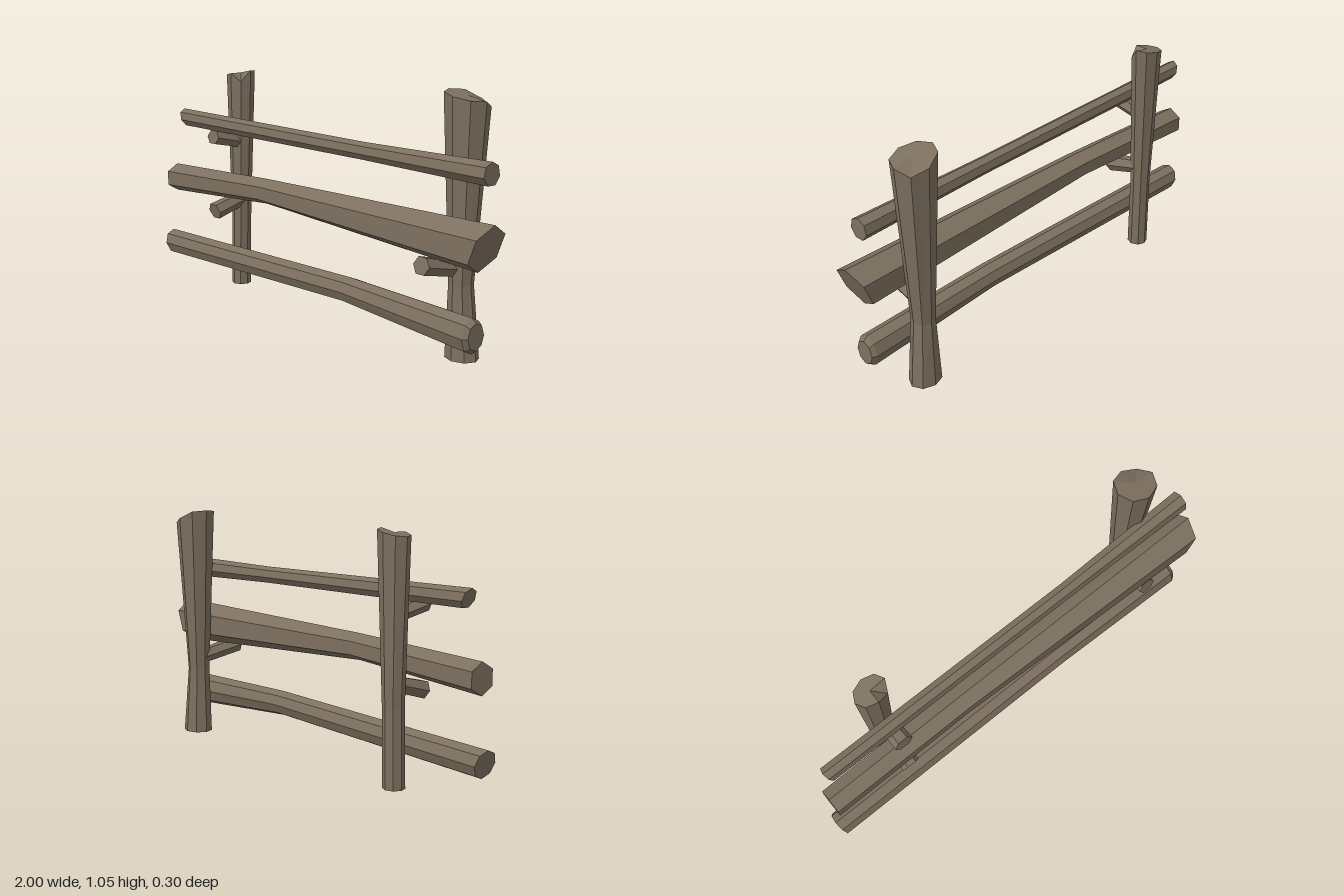
import * as THREE from 'three';

const wood = new THREE.MeshStandardMaterial({ color: 0x7d705f, flatShading: true });
wood.name = 'weathered wood';

// Faceted log lofted along one axis. Each ring: [t, a, b, radiusA, radiusB, slantA, slantB]
// where (t, a, b) is (x,y,z), (y,z,x) or (z,x,y). chips lowers chosen corners of the last ring.
function log(name, axis, sides, rings, chips = {}) {
  const pos = [], index = [];
  const place = (t, a, b) => {
    if (axis === 'x') pos.push(t, a, b);
    else if (axis === 'y') pos.push(b, t, a);
    else pos.push(a, b, t);
  };
  rings.forEach(([t, a, b, ra, rb, sa = 0, sb = 0], k) => {
    for (let i = 0; i < sides; i++) {
      const ang = (i / sides) * Math.PI * 2;
      const da = ra * Math.cos(ang), db = rb * Math.sin(ang);
      const chip = k === rings.length - 1 ? chips[i] || 0 : 0;
      place(t + sa * da + sb * db - chip, a + da, b + db);
    }
  });
  const last = rings.length - 1, start = rings.length * sides, end = start + 1;
  place(...rings[0].slice(0, 3));
  place(...rings[last].slice(0, 3));
  for (let i = 0; i < sides; i++) {
    const j = (i + 1) % sides;
    for (let k = 0; k < last; k++) {
      const p = k * sides, q = p + sides;
      index.push(p + i, p + j, q + j, p + i, q + j, q + i);
    }
    index.push(start, j, i, end, last * sides + i, last * sides + j);
  }
  const indexed = new THREE.BufferGeometry();
  indexed.setAttribute('position', new THREE.Float32BufferAttribute(pos, 3));
  indexed.setIndex(index);
  const geo = indexed.toNonIndexed();
  geo.computeVertexNormals();
  const mesh = new THREE.Mesh(geo, wood);
  mesh.name = name;
  return mesh;
}

export function createModel() {
  const group = new THREE.Group();
  group.name = 'fence';
  group.add(
    // Posts: narrow waist, flared slanted top with a chipped corner
    log('leftPost', 'y', 8, [
      [0, -0.06, 0.748, 0.062, 0.073],
      [0.3, -0.057, 0.738, 0.05, 0.05],
      [1.037, -0.065, 0.74, 0.085, 0.095, 0, -0.18],
    ], { 3: 0.03, 4: 0.02 }),
    log('rightPost', 'y', 8, [
      [0.02, -0.04, -0.62, 0.045, 0.045],
      [0.35, -0.043, -0.615, 0.044, 0.045],
      [1.02, -0.047, -0.612, 0.058, 0.073, 0, 0.2],
    ], { 1: 0.045 }),
    // Rails: slightly bent, with slanted sawn ends
    log('topRail', 'x', 7, [
      [-0.918, 0.79, 0.045, 0.04, 0.036, -0.42],
      [0.3, 0.778, 0.037, 0.037, 0.035],
      [0.945, 0.774, 0.028, 0.047, 0.046],
    ]),
    log('middleRail', 'x', 6, [
      [-0.97, 0.496, 0.07, 0.065, 0.064],
      [-0.29, 0.527, 0.068, 0.056, 0.066],
      [0.96, 0.503, 0.065, 0.097, 0.095, 0.39],
    ]),
    log('bottomRail', 'x', 8, [
      [-0.985, 0.173, 0.08, 0.058, 0.056, -0.26],
      [0.25, 0.196, 0.08, 0.055, 0.055],
      [0.915, 0.163, 0.082, 0.072, 0.058],
      [0.935, 0.163, 0.08, 0.055, 0.046],
    ]),
    // Pegs carrying the rails
    log('rightUpperPeg', 'z', 6, [
      [-0.03, -0.607, 0.703, 0.037, 0.032],
      [0.122, -0.607, 0.738, 0.042, 0.034, 0, -0.15],
    ]),
    log('rightMiddlePeg', 'z', 6, [
      [-0.04, -0.605, 0.435, 0.036, 0.036],
      [0.122, -0.605, 0.392, 0.042, 0.038, 0, 0.3],
    ]),
    log('leftMiddlePeg', 'z', 6, [
      [-0.04, 0.722, 0.363, 0.036, 0.036],
      [0.145, 0.713, 0.405, 0.042, 0.038, 0, -0.22],
    ]),
  );
  return group;
}
